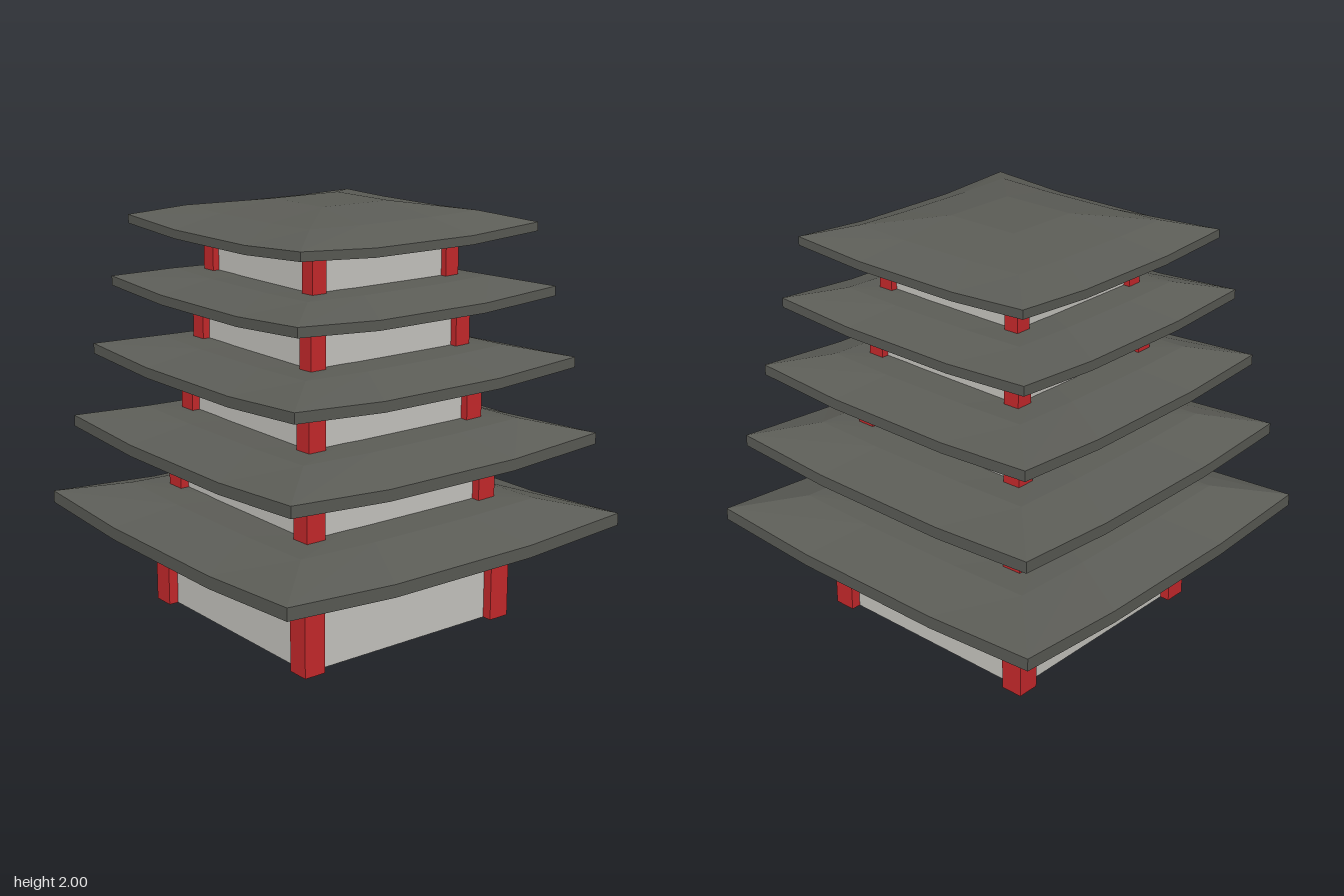
import * as THREE from 'three';

const mat = (color) => new THREE.MeshStandardMaterial({ color, flatShading: true, side: THREE.DoubleSide });
const roofMat = mat(0x5c5d57);
const redMat = mat(0xcb2a2d);
const wallMat = mat(0xcbcac4);

// Twelve points round a square; the points between the corners sag by dip
function squareRing({ r, y, dip = 0, mid = 0.41 }) {
  const points = [];
  for (let side = 0; side < 4; side++) {
    for (const u of [-1, -mid, mid]) {
      let x = u * r, z = r;
      for (let k = 0; k < side; k++) [x, z] = [z, -x];
      points.push([x, u === -1 ? y : y - dip, z]);
    }
  }
  return points;
}

// Skin a closed loop of rings
function skinRings(rings) {
  const loops = rings.map(squareRing);
  const pos = [];
  loops.forEach((a, i) => {
    const b = loops[(i + 1) % loops.length];
    for (let j = 0; j < 12; j++) {
      const k = (j + 1) % 12;
      pos.push(...a[j], ...a[k], ...b[k], ...a[j], ...b[k], ...b[j]);
    }
  });
  const geo = new THREE.BufferGeometry();
  geo.setAttribute('position', new THREE.Float32BufferAttribute(pos, 3));
  geo.computeVertexNormals();
  return geo;
}

// Curved roof slab with raised corners; inner rings make a hole or a flat crown
function roof(tier, s, hole) {
  const t = 0.06 * s;
  const top = [
    { r: tier.eave, y: tier.corner, dip: 0.035 * s },
    { r: tier.eave * 0.71, y: tier.top, dip: 0.01 * s },
  ];
  if (hole) top.push({ r: hole, y: tier.top });
  else top.push({ r: tier.eave * 0.28, y: 2, mid: 1 }, { r: 0, y: 2 });
  const under = top.map((ring) => ({ ...ring, y: ring.y - t })).reverse();
  const mesh = new THREE.Mesh(skinRings([...top, ...under]), roofMat);
  mesh.name = 'roof';
  return mesh;
}

function box(name, w, h, d, x, y, z, material) {
  const mesh = new THREE.Mesh(new THREE.BoxGeometry(w, h, d), material);
  mesh.position.set(x, y, z);
  mesh.name = name;
  return mesh;
}

export function createModel() {
  const model = new THREE.Group();
  model.name = 'pagoda';

  // half: outer half width at the posts; eave: half width of the roof
  const tiers = [
    { base: 0, half: 0.61, eave: 0.97, corner: 0.54, top: 0.6, beam: 0.38 },
    { base: 0.58, half: 0.556, eave: 0.885, corner: 0.93, top: 0.99, beam: 0.8 },
    { base: 0.97, half: 0.506, eave: 0.807, corner: 1.29, top: 1.34, beam: 1.19 },
    { base: 1.32, half: 0.461, eave: 0.736, corner: 1.62, top: 1.665, beam: 1.535 },
    { base: 1.645, half: 0.42, eave: 0.673, corner: 1.913, top: 1.962, beam: 1.855 },
  ];

  tiers.forEach((tier, i) => {
    const s = tier.half / 0.61;
    const storey = new THREE.Group();
    storey.name = `storey${i + 1}`;
    const post = 0.11 * s;
    const c = tier.half - post / 2;
    const h = tier.top - 0.05 * s - tier.base;
    const mid = tier.base + h / 2;
    const beamH = 0.04 * s;

    for (let k = 0; k < 4; k++) {
      // One wall, beam and corner post per side
      const side = new THREE.Group();
      side.name = 'wallSide';
      side.rotation.y = (k * Math.PI) / 2;
      side.add(
        box('wall', 2 * c, h, 0.012, 0, mid, c, wallMat),
        box('beam', 2 * c, beamH, 0.06 * s, 0, tier.beam + beamH / 2, c, redMat),
        box('post', post, h, post, c, mid, c, redMat),
      );
      storey.add(side);
    }

    const next = tiers[i + 1];
    storey.add(roof(tier, s, next ? next.half * 0.82 : 0));
    model.add(storey);
  });

  return model;
}
